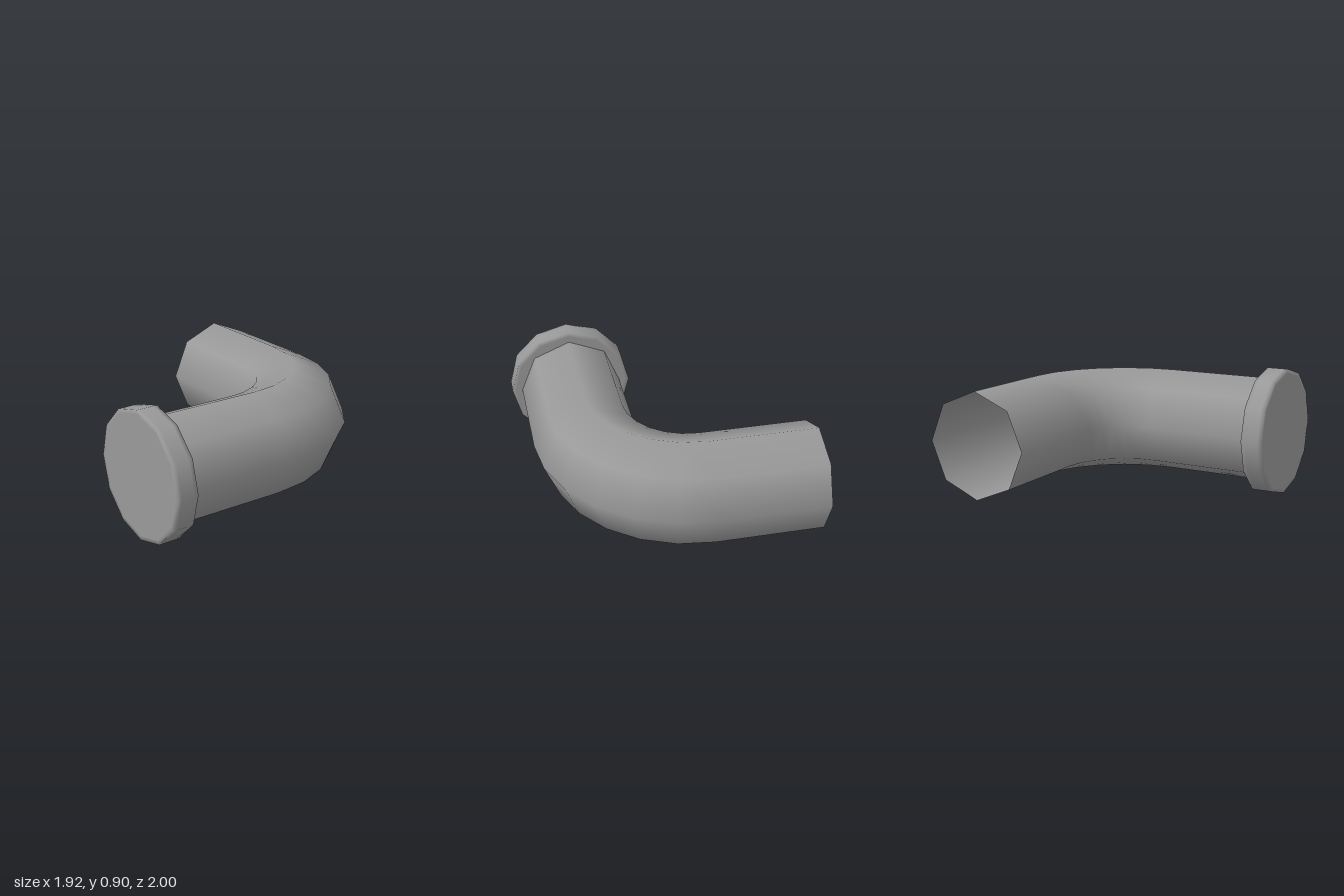
import * as THREE from 'three';

const RADIUS = 0.375, BEND = 0.713, AXIS_Y = 0.452;
const CENTRE_X = -0.203, CENTRE_Z = 0.088;
const START_X = -0.962, END_Z = 0.86, STEPS = 6;

// Octagonal open cylinder whose rows follow straight - quarter bend - straight
function bentPipe() {
  const rows = STEPS + 2;
  const geo = new THREE.CylinderGeometry(RADIUS, RADIUS, 1, 8, rows, true);
  const pos = geo.attributes.position, nor = geo.attributes.normal;
  for (let i = 0; i < pos.count; i++) {
    const row = Math.round((0.5 - pos.getY(i)) * rows);
    const a = THREE.MathUtils.clamp(row - 1, 0, STEPS) / STEPS * Math.PI / 2;
    const sx = Math.sin(a), sz = -Math.cos(a); // direction away from the bend centre
    const cx = row === 0 ? START_X : CENTRE_X + BEND * sx;
    const cz = row === rows ? END_Z : CENTRE_Z + BEND * sz;
    const px = pos.getX(i), pz = pos.getZ(i), nx = nor.getX(i), nz = nor.getZ(i);
    pos.setXYZ(i, cx + sx * pz, AXIS_Y - px, cz + sz * pz);
    nor.setXYZ(i, sx * nz, -nx, sz * nz);
  }
  return geo;
}

export function createModel() {
  const group = new THREE.Group();
  group.name = 'pipeElbow';
  const material = new THREE.MeshStandardMaterial({ color: 0x999999, side: THREE.DoubleSide });

  const pipe = new THREE.Mesh(bentPipe(), material);
  pipe.name = 'bentPipe';
  group.add(pipe);

  // Twelve-sided end cap; narrow rings beside each rim soften the shading there
  const profile = [
    [0, 0.852], [0.42, 0.852], [0.45, 0.852], [0.45, 0.88],
    [0.45, 0.972], [0.45, 1], [0.42, 1], [0, 1],
  ].map(([r, z]) => new THREE.Vector2(r, z));
  const cap = new THREE.Mesh(new THREE.LatheGeometry(profile, 12).rotateX(Math.PI / 2), material);
  cap.name = 'endCap';
  cap.position.set(CENTRE_X + BEND, AXIS_Y, 0);
  group.add(cap);

  return group;
}
